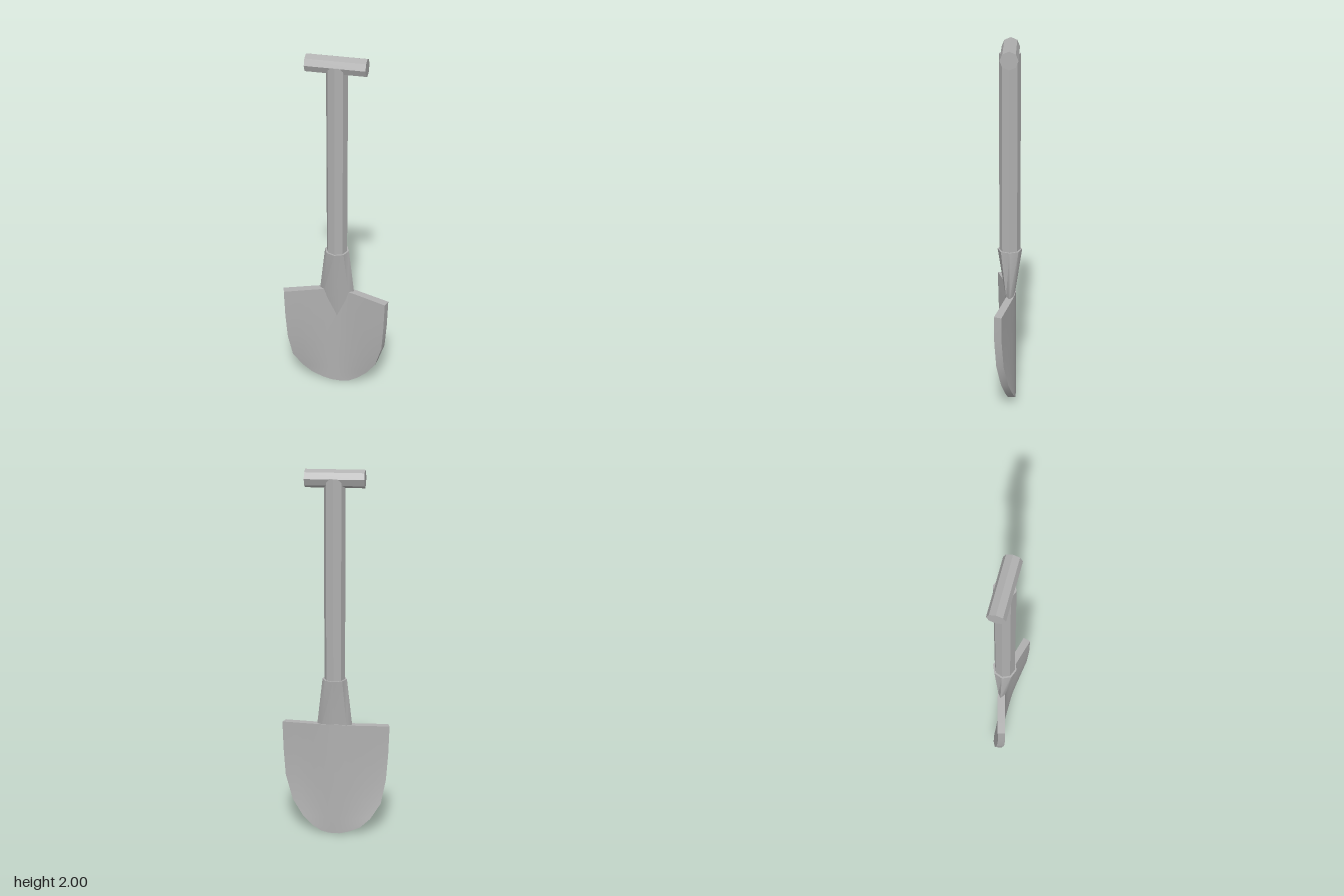
import * as THREE from 'three';
import { toCreasedNormals } from 'three/addons/utils/BufferGeometryUtils.js';

const grey = new THREE.MeshStandardMaterial({ color: 0xb0b0b0 });
grey.name = 'grey';

// Skins closed rings of points, listed from bottom to top, and caps both ends
function loft(rings) {
  const n = rings[0].length, last = (rings.length - 1) * n, index = [];
  for (let r = 0; r < last; r += n) {
    for (let i = 0; i < n; i++) {
      const a = r + i, b = r + (i + 1) % n;
      index.push(a, b, b + n, a, b + n, a + n);
    }
  }
  for (let i = 0; i < n / 2 - 1; i++) {
    const j = n - 1 - i;
    index.push(i, j, j - 1, i, j - 1, i + 1);
    index.push(last + i, last + j - 1, last + j, last + i, last + i + 1, last + j - 1);
  }
  const g = new THREE.BufferGeometry();
  g.setAttribute('position', new THREE.Float32BufferAttribute(rings.flat(2), 3));
  g.setIndex(index);
  return g;
}

// Dished blade: each row is height, left edge, right edge, amount of dish
function bladeGeometry() {
  const rows = [
    [0, -0.03, 0.03, 0.1], [0.012, -0.08, 0.075, 0.12], [0.04, -0.145, 0.12, 0.15],
    [0.09, -0.2, 0.175, 0.35], [0.175, -0.255, 0.235, 0.65], [0.31, -0.28, 0.278, 0.9],
    [0.46, -0.29, 0.29, 1], [0.615, -0.295, 0.295, 1],
  ];
  const columns = 10;
  return loft(rows.map(([y, left, right, dish], r) => {
    const front = [], back = [];
    for (let i = 0; i <= columns; i++) {
      const x = THREE.MathUtils.lerp(left, right, i / columns);
      const z = -0.04 + dish * 0.27 * (Math.hypot(x, 0.04) - 0.04);
      const rise = r === rows.length - 1 ? 0.02 * (1 - Math.abs(x) / 0.295) : 0;
      front.push([x * (1 - 0.04 * dish), y + rise, z + 0.04]);
      back.unshift([x, y + rise, z]);
    }
    return [...front, ...back];
  }));
}

// Socket: eight-sided at the shaft, flattening into the blade
function socketGeometry() {
  const sections = [
    [0.42, 0.015, 0.008, -0.012], [0.63, 0.095, 0.028, -0.007], [0.885, 0.066, 0.066, -0.006],
  ];
  return loft(sections.map(([y, rx, rz, z]) => Array.from({ length: 8 }, (_, i) => {
    const a = i * Math.PI / 4;
    return [rx * Math.sin(a), y, z + rz * Math.cos(a)];
  })));
}

export function createModel() {
  const model = new THREE.Group();
  model.name = 'shovel';
  const add = (name, geometry) => {
    const mesh = new THREE.Mesh(toCreasedNormals(geometry, 0.6), grey);
    mesh.name = name;
    model.add(mesh);
  };

  add('blade', bladeGeometry());
  add('socket', socketGeometry());

  // Octagonal shaft
  add('shaft', new THREE.CylinderGeometry(0.056, 0.056, 1.095, 8).translate(0, 1.4075, -0.006));

  // Crosswise grip
  add('grip', new THREE.CylinderGeometry(0.047, 0.047, 0.31, 8)
    .rotateZ(Math.PI / 2).translate(-0.002, 1.953, -0.006));

  return model;
}
